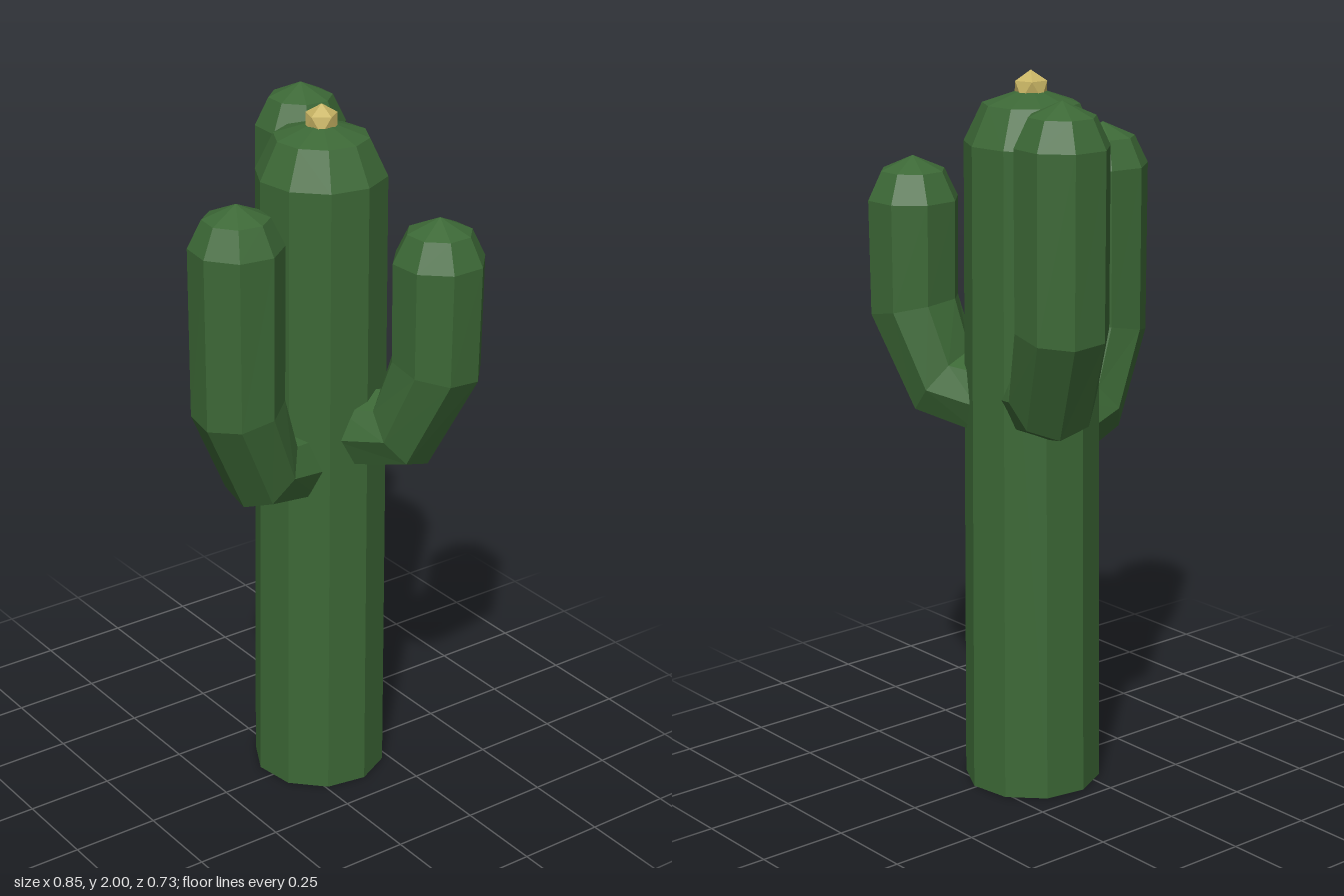
import * as THREE from 'three';

const SIDES = 8;

// Loft a closed tube through rings [outward, height, tangent angle in degrees, radius]
function loftArm(rings) {
  const pos = [], index = [];
  for (const [s, y, deg, r] of rings) {
    const t = THREE.MathUtils.degToRad(deg);
    for (let j = 0; j < SIDES; j++) {
      const a = (j / SIDES) * Math.PI * 2;
      const u = r * Math.cos(a);
      pos.push(r * Math.sin(a), y - u * Math.cos(t), s + u * Math.sin(t));
    }
  }
  for (let k = 0; k < rings.length - 1; k++) {
    for (let j = 0; j < SIDES; j++) {
      const a = k * SIDES + j, b = k * SIDES + (j + 1) % SIDES;
      if (rings[k][3] > 0) index.push(a, b, b + SIDES);
      else index.push(a, b + SIDES, a + SIDES);
      if (rings[k][3] > 0 && rings[k + 1][3] > 0) index.push(a, b + SIDES, a + SIDES);
    }
  }
  const geo = new THREE.BufferGeometry();
  geo.setAttribute('position', new THREE.Float32BufferAttribute(pos, 3));
  geo.setIndex(index);
  geo.computeVertexNormals();
  return geo;
}

export function createModel() {
  const model = new THREE.Group();
  model.name = 'cactus';

  const green = new THREE.MeshStandardMaterial({ color: 0x3c6836, flatShading: true });
  green.name = 'cactus green';
  const yellow = new THREE.MeshStandardMaterial({ color: 0xc8b464, flatShading: true });
  yellow.name = 'flower yellow';

  const cx = -0.022, cz = -0.095;
  const add = (name, geo, mat) => {
    const mesh = new THREE.Mesh(geo, mat);
    mesh.name = name;
    mesh.position.set(cx, 0, cz);
    model.add(mesh);
    return mesh;
  };

  // Ten-sided trunk with a low domed top
  const profile = [[0, 0], [0.19, 0], [0.18, 1.81], [0.13, 1.913], [0, 1.958]]
    .map(([r, y]) => new THREE.Vector2(r, y));
  add('trunk', new THREE.LatheGeometry(profile, 10, THREE.MathUtils.degToRad(-9.5)), green);

  // Arms: direction from the trunk, reach, elbow height, height where the dome starts
  const arms = [
    ['frontArm', 0.09, 0.335, 0.347, 1.035, 1.70],
    ['leftArm', 0.322, -0.15, 0.355, 1.125, 1.63],
    ['rightArm', -0.283, -0.134, 0.314, 1.158, 1.846],
  ];
  for (const [name, dx, dz, reach, elbow, top] of arms) {
    const start = reach - 0.247;
    const geo = loftArm([
      [start, elbow - 0.03, 11, 0],
      [start, elbow - 0.03, 11, 0.118],
      [reach - 0.093, elbow, 38, 0.12],
      [reach, elbow + 0.208, 78, 0.127],
      [reach, top, 90, 0.128],
      [reach, top + 0.078, 90, 0.09],
      [reach, top + 0.118, 90, 0],
    ]);
    add(name, geo, green).rotation.y = Math.atan2(dx, dz);
  }

  // Faceted flower bud with one corner pointing up
  const bud = new THREE.IcosahedronGeometry(0.05, 0);
  bud.rotateX(-Math.atan2((1 + Math.sqrt(5)) / 2, 1));
  bud.rotateY(Math.PI / 2);
  add('flower', bud, yellow).position.y = 1.95;

  return model;
}
